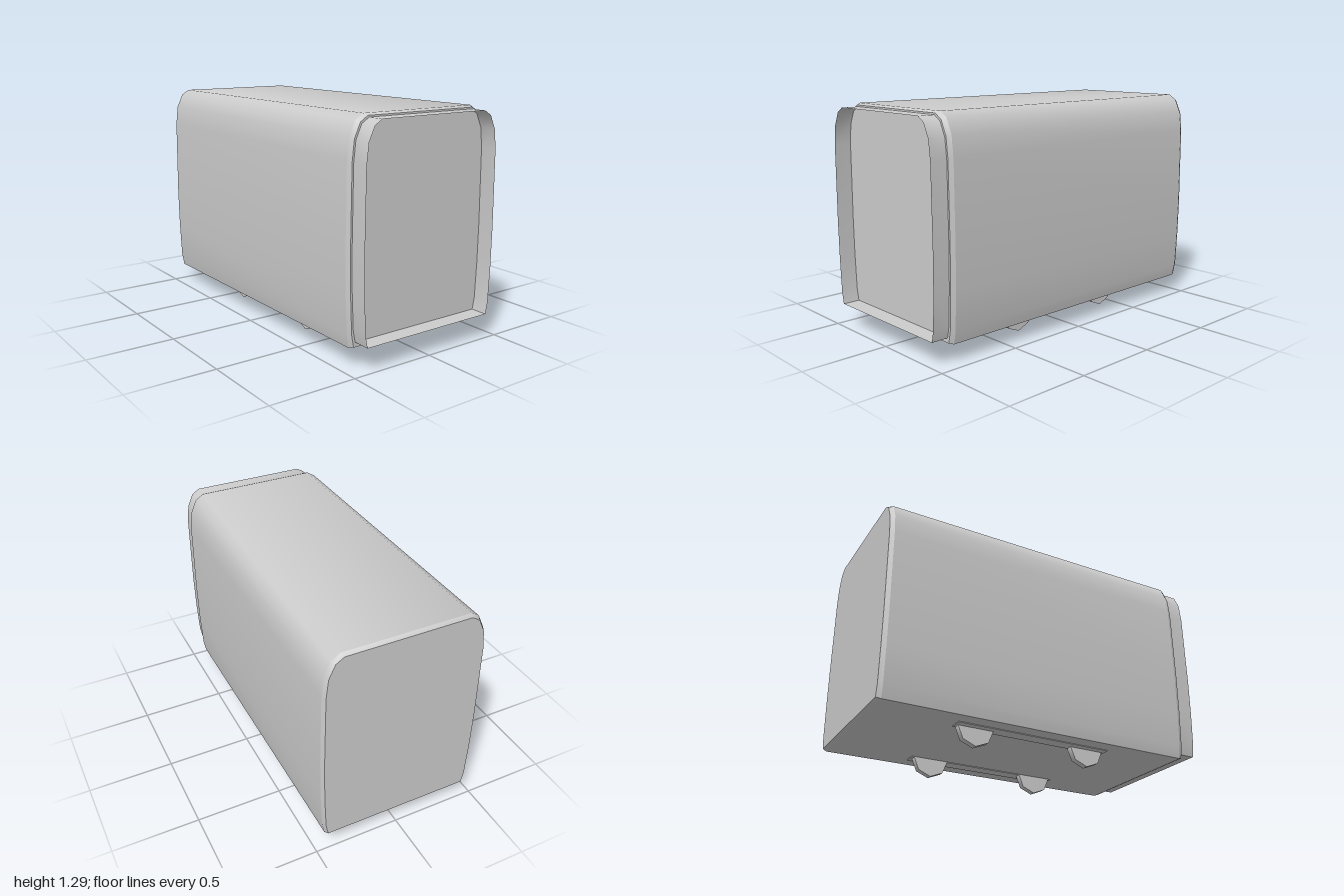
import * as THREE from 'three';
import { toCreasedNormals } from 'three/addons/utils/BufferGeometryUtils.js';

// Right half of the body cross-section, bottom to top
const HALF = [[0.442, 0.105], [0.456, 0.175], [0.465, 0.39], [0.468, 0.62],
  [0.463, 1.07], [0.45, 1.185], [0.413, 1.265], [0.366, 1.294]];

// Counter-clockwise cross-section fitted to a half width, bottom and top
function section(halfWidth, bottom, top) {
  const k = halfWidth / 0.468;
  const right = HALF.map(([x, y]) =>
    [x * k, bottom + (y - 0.105) / (1.294 - 0.105) * (top - bottom)]);
  const left = right.map(([x, y]) => [-x, y]).reverse();
  return [...right, ...left];
}

// Surface joining two cross-sections at z0 and z1
function band(a, z0, b, z1) {
  const pos = [];
  const n = a.length;
  for (let i = 0; i < n; i++) {
    const j = (i + 1) % n;
    const p = [...a[i], z0], q = [...a[j], z0], r = [...b[j], z1], s = [...b[i], z1];
    pos.push(...p, ...q, ...r, ...p, ...r, ...s);
  }
  const g = new THREE.BufferGeometry();
  g.setAttribute('position', new THREE.Float32BufferAttribute(pos, 3));
  return toCreasedNormals(g, 0.75);
}

export function createModel() {
  const group = new THREE.Group();
  const grey = new THREE.MeshStandardMaterial({ color: 0xcccccc });
  grey.name = 'grey';
  grey.side = THREE.DoubleSide;

  const add = (name, geometry, x = 0, y = 0, z = 0) => {
    const mesh = new THREE.Mesh(geometry, grey);
    mesh.name = name;
    mesh.position.set(x, y, z);
    group.add(mesh);
    return mesh;
  };

  const outer = section(0.468, 0.105, 1.294);
  const inset = section(0.456, 0.113, 1.284);
  const collar = section(0.446, 0.14, 1.275);

  // Body shell with narrow bevels at both ends
  add('body', band(outer, -0.975, outer, 0.875));
  add('frontBevel', band(outer, 0.875, inset, 0.9));
  add('backBevel', band(inset, -1, outer, -0.975));

  // End walls
  const wall = new THREE.ShapeGeometry(
    new THREE.Shape(inset.map(([x, y]) => new THREE.Vector2(x, y))));
  add('frontWall', wall, 0, 0, 0.9);
  add('backWall', wall, 0, 0, -1).rotation.y = Math.PI;

  // Open connecting collar on the front
  add('frontCollar', band(collar, 0.9, collar, 1));

  // Wheels and the rails that carry them
  const wheel = new THREE.CylinderGeometry(0.107, 0.107, 0.038, 8);
  wheel.rotateZ(Math.PI / 2);
  const smoothWheel = toCreasedNormals(wheel, 0.9);
  const rail = new THREE.BoxGeometry(0.079, 0.03, 0.94);
  for (const side of [-1, 1]) {
    add(side > 0 ? 'leftRail' : 'rightRail', rail, side * 0.3165, 0.116, -0.045);
    for (const z of [0.305, -0.395]) {
      add(z > 0 ? 'frontWheel' : 'backWheel', smoothWheel, side * 0.296, 0.107, z);
    }
  }
  return group;
}
